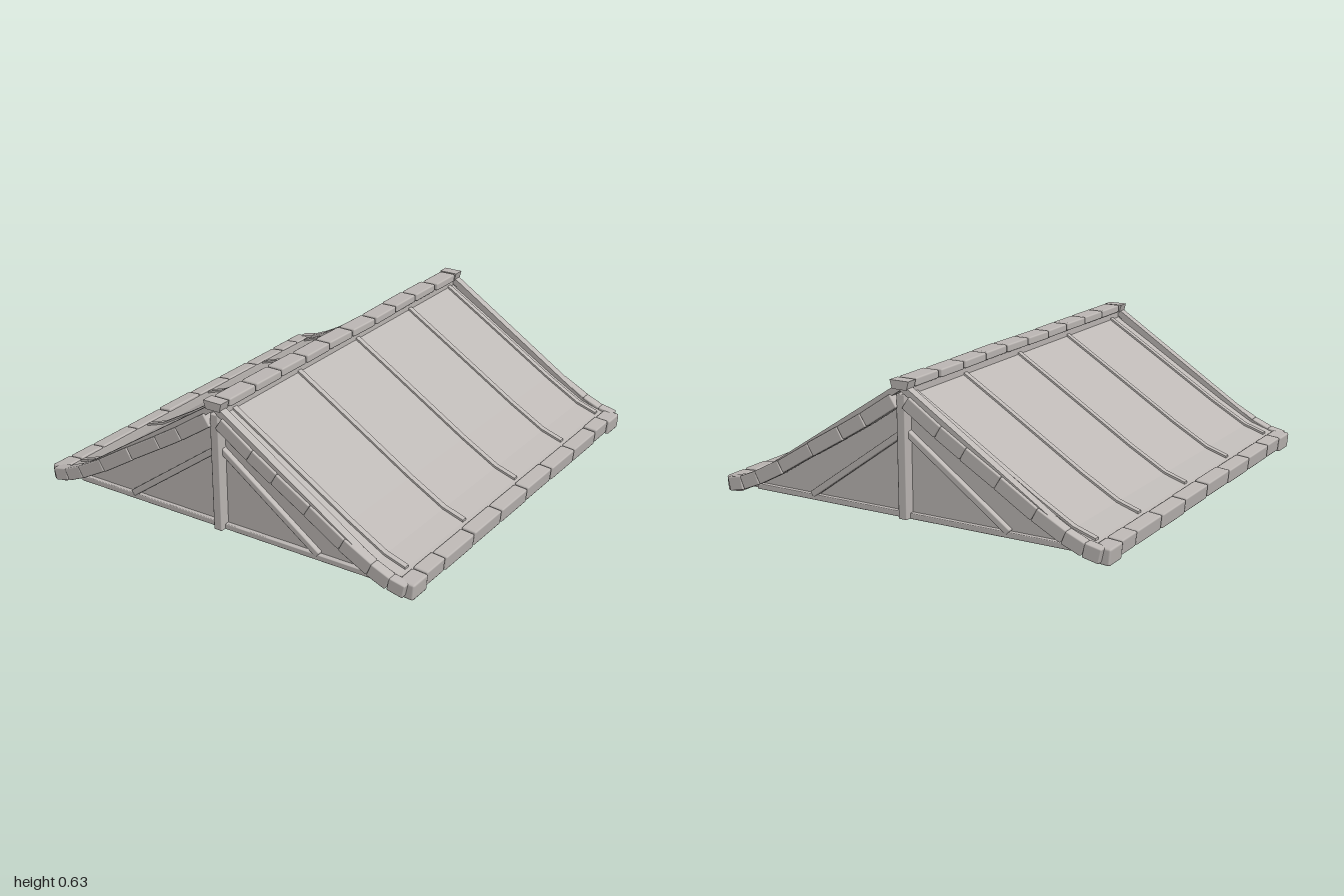
import * as THREE from 'three';
import { RoundedBoxGeometry } from 'three/addons/geometries/RoundedBoxGeometry.js';

const stone = new THREE.MeshStandardMaterial({ color: 0xbeb9b6 });
stone.name = 'warm grey';

// Small seeded generator for uneven hand-laid pieces
let seed = 7;
const jitter = (a) => {
  seed = (seed * 16807) % 2147483647;
  return (seed / 2147483647 - 0.5) * 2 * a;
};

function add(parent, name, geo, x = 0, y = 0, z = 0) {
  const m = new THREE.Mesh(geo, stone);
  m.name = name;
  m.position.set(x, y, z);
  parent.add(m);
  return m;
}

const block = (w, h, d, r = 0.008) => new RoundedBoxGeometry(w, h, d, 1, Math.min(r, w / 3, h / 3, d / 3));

// Beam lying in the xy plane between two points
function beam(parent, name, a, b, thick, depth, z) {
  const dx = b[0] - a[0], dy = b[1] - a[1];
  const m = add(parent, name, block(Math.hypot(dx, dy), thick, depth, 0.006),
    (a[0] + b[0]) / 2, (a[1] + b[1]) / 2, z);
  m.rotation.z = Math.atan2(dy, dx);
  return m;
}

// Closed plate cut from an outline in the xy plane, extruded along z
function plate(points, depth, z0) {
  const s = new THREE.Shape(points.map(([x, y]) => new THREE.Vector2(x, y)));
  return new THREE.ExtrudeGeometry(s, { depth, bevelEnabled: false }).translate(0, 0, z0);
}

// Slab that follows a profile, centred on z
function slab(profile, thick, depth, z, lift = 0) {
  const top = profile.map(([x, y]) => [x, y + lift]);
  const bottom = top.map(([x, y]) => [x, y - thick]).reverse();
  return plate([...top, ...bottom], depth, z - depth / 2);
}

const roofLine = [[0, 0.585], [0.2, 0.462], [0.4, 0.337], [0.6, 0.212], [0.77, 0.115], [0.87, 0.082], [0.92, 0.07]];
const railLine = [[0, 0.628], [0.78, 0.122], [0.84, 0.092]];
const trimLine = [[0.03, 0.548], [0.185, 0.445], [0.305, 0.372], [0.467, 0.276],
  [0.635, 0.173], [0.767, 0.103], [0.855, 0.066], [0.93, 0.05]];

function roofSide(side) {
  const g = new THREE.Group();
  g.name = side > 0 ? 'leftSlope' : 'rightSlope';
  const flip = (pts) => pts.map(([x, y]) => [x * side, y]);
  const line = flip(roofLine);

  add(g, 'roofSheet', slab(line, 0.024, 1.9, 0));

  // Raised seams running down the slope
  for (const z of [-0.905, -0.525, -0.06, 0.405, 0.872]) {
    add(g, 'seam', slab(line.slice(0, 6), 0.02, 0.027, z, 0.01));
  }

  // Eave blocks along the lower edge
  const cuts = [-0.86, -0.72, -0.485, -0.25, -0.01, 0.23, 0.47, 0.71, 0.86];
  for (let i = 0; i < cuts.length - 1; i++) {
    const len = cuts[i + 1] - cuts[i] - 0.008;
    const m = add(g, 'eaveBlock', block(0.07, 0.066, len, 0.008),
      side * (0.921 + jitter(0.002)), 0.052 + jitter(0.003), (cuts[i] + cuts[i + 1]) / 2);
    m.rotation.z = side * -0.1;
  }

  for (const end of [-1, 1]) {
    // Corner blocks
    const corner = add(g, 'cornerBlock', block(0.078, 0.074, 0.112, 0.01), side * 0.923, 0.046, end * 0.915);
    corner.rotation.z = side * -0.08;

    // Trim blocks up the gable edge
    const pts = flip(trimLine);
    for (let i = 0; i < pts.length - 1; i++) {
      beam(g, 'gableTrim', pts[i], pts[i + 1], 0.062 + jitter(0.003), 0.05, end * (0.972 + jitter(0.002)));
    }
    // Straight capping rail above the trim
    add(g, 'gableRail', slab(flip(railLine), 0.035, 0.04, end * 0.965));
  }
  return g;
}

function gable(end) {
  const g = new THREE.Group();
  g.name = end > 0 ? 'frontGable' : 'backGable';

  // Triangular infill wall
  add(g, 'gableWall', plate([[-0.84, 0.036], [0.84, 0.036], [0.77, 0.1], [0, 0.57], [-0.77, 0.1]], 0.012, 0.924));

  // Framing: post, base rail and two braces
  add(g, 'kingPost', block(0.042, 0.54, 0.056, 0.005), 0, 0.308, 0.956);
  add(g, 'baseRail', block(1.6, 0.026, 0.03, 0.004), 0, 0.05, 0.942);
  for (const s of [-1, 1]) beam(g, 'brace', [0, 0.415], [s * 0.495, 0.06], 0.03, 0.03, 0.944);

  // Apex cap closing the ridge
  add(g, 'apexCap', plate([[-0.046, 0.636], [-0.036, 0.598], [0.036, 0.598], [0.046, 0.636]], 0.055, 0.935));

  if (end < 0) g.rotation.y = Math.PI;
  return g;
}

export function createModel() {
  seed = 7;
  const model = new THREE.Group();
  model.name = 'gableRoof';
  model.add(roofSide(1), roofSide(-1), gable(1), gable(-1));

  // Ridge cap blocks on a continuous beam
  const ridge = new THREE.Group();
  ridge.name = 'ridge';
  const n = 10, span = 1.86, step = span / n;
  for (let i = 0; i < n; i++) {
    const m = add(ridge, 'ridgeBlock', block(0.084, 0.038, step - 0.01, 0.008),
      jitter(0.004), 0.62 + jitter(0.001), -span / 2 + step * (i + 0.5));
    m.rotation.y = jitter(0.02);
  }
  add(ridge, 'ridgeBeam', block(0.05, 0.04, 1.9, 0.006), 0, 0.585, 0);
  model.add(ridge);
  return model;
}
